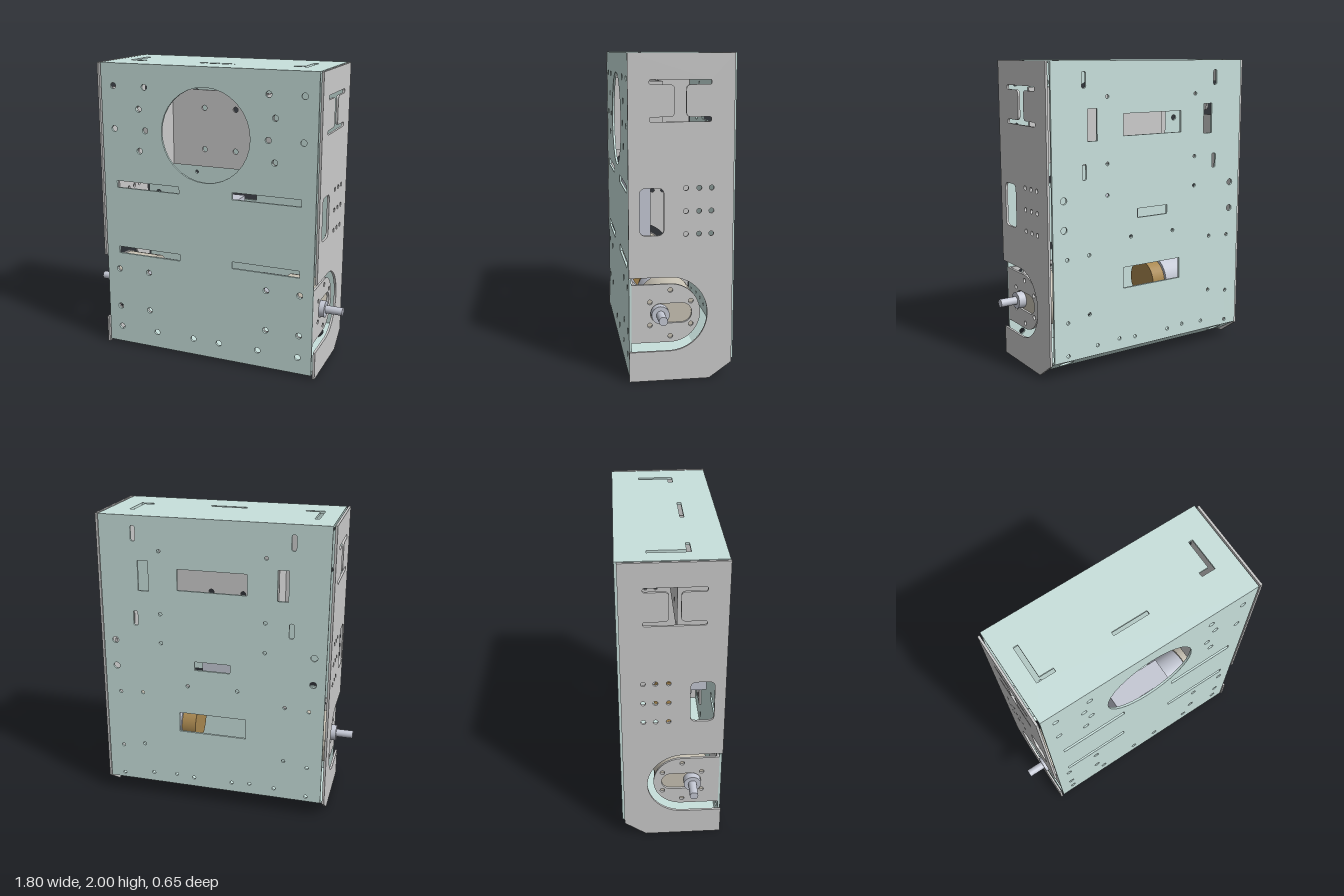
import * as THREE from 'three';

const T = 0.015; // sheet thickness
const paint = (color) => new THREE.MeshStandardMaterial({ color });
const GREY = paint(0xcccccc), GREEN = paint(0xc8e0dc), STEEL = paint(0xc4c8d4);
const TAN = paint(0xc8c2b4), BROWN = paint(0xa8874f);

// Closed outline from [x, y, cornerRadius] points
function outline(pts, Kind = THREE.Path) {
  const path = new Kind();
  pts.forEach(([x, y, r = 0], i) => {
    const toward = ([px, py]) => {
      const d = Math.hypot(px - x, py - y);
      return [x + ((px - x) / d) * r, y + ((py - y) / d) * r];
    };
    const a = toward(pts[(i + pts.length - 1) % pts.length]);
    const b = toward(pts[(i + 1) % pts.length]);
    if (i) path.lineTo(...a); else path.moveTo(...a);
    if (r) path.quadraticCurveTo(x, y, ...b);
  });
  path.closePath();
  return path;
}
const rect = (x0, y0, x1, y1, r = 0, Kind = THREE.Path) =>
  outline([[x0, y0, r], [x1, y0, r], [x1, y1, r], [x0, y1, r]], Kind);
const hole = (x, y, r) => new THREE.Path().absarc(x, y, r, 0, Math.PI * 2, false);
const pair = (x, y, r) => [hole(x, y, r), hole(-x, y, r)];
const pairRect = (x0, y0, x1, y1, r) => [rect(x0, y0, x1, y1, r), rect(-x1, y0, -x0, y1, r)];

function sheet(shape, holes) {
  shape.holes.push(...holes);
  return new THREE.ExtrudeGeometry(shape, { depth: T, bevelEnabled: false, curveSegments: 16 });
}
// Sheet drawn in (z, y), with its faces at x and x + T
const sideways = (geo, x) => geo.rotateY(-Math.PI / 2).translate(x + T, 0, 0);
// Sheet drawn in (x, z), with its upper face at y
const flat = (geo, y) => geo.rotateX(Math.PI / 2).translate(0, y, 0);

export function createModel() {
  const model = new THREE.Group();
  const add = (name, geo, mat, parent = model) => {
    const mesh = new THREE.Mesh(geo, mat);
    mesh.name = name;
    parent.add(mesh);
    return mesh;
  };

  // Front panel: round window, four slots, bolt holes
  const frontHoles = [hole(0, 1.56, 0.31)];
  for (const [x, y] of [[0.66, 1.85], [0.43, 1.85], [0.475, 1.705], [0.66, 1.565], [0.43, 1.565], [0.475, 1.425],
    [0.66, 0.57], [0.43, 0.57], [0.66, 0.29], [0.43, 0.29], [0.655, 0.135], [0.375, 0.135], [0.095, 0.135]])
    frontHoles.push(...pair(x, y, 0.02));
  for (const y of [0.69, 1.16]) frontHoles.push(...pairRect(0.19, y, 0.655, y + 0.047));
  add('frontPanel', sheet(rect(-0.75, 0.02, 0.75, 2, 0, THREE.Shape), frontHoles).translate(0, 0, 0.31), GREEN);

  // Back panel: cable openings, slots and small holes
  const backHoles = [rect(-0.23, 1.53, 0.23, 1.67), rect(-0.12, 0.99, 0.12, 1.05), rect(-0.23, 0.53, 0.23, 0.67),
    ...pairRect(0.425, 1.51, 0.495, 1.71)];
  for (const y of [1.27, 1.835]) backHoles.push(...pairRect(0.505, y, 0.535, y + 0.1, 0.014));
  for (const y of [0.97, 1.155]) backHoles.push(...pair(0.67, y, 0.022));
  for (const [x, y] of [[0.35, 1.78], [0.35, 1.36], [0.35, 1.16], [0.17, 0.87], [0.65, 0.78], [0.49, 0.79],
    [0.65, 0.37], [0.49, 0.4], [0.65, 0.15], [0.43, 0.18], [0.26, 0.19], [0.135, 0.18]])
    backHoles.push(...pair(x, y, 0.012));
  add('backPanel', sheet(rect(-0.75, 0.115, 0.75, 2, 0, THREE.Shape), backHoles).translate(0, 0, -0.325), GREEN);

  // Top panel: two L-shaped slots and one straight slot
  const topHoles = [
    rect(-0.125, 0.09, 0.12, 0.115),
    outline([[-0.64, -0.14], [-0.61, -0.14], [-0.61, 0.09], [-0.515, 0.09], [-0.515, 0.115], [-0.64, 0.115]]),
    outline([[0.605, -0.14], [0.575, -0.14], [0.575, 0.06], [0.51, 0.06], [0.51, 0.09], [0.605, 0.09]]),
  ];
  add('topPanel', flat(sheet(rect(-0.75, -0.325, 0.75, 0.325, 0, THREE.Shape), topHoles), 2), GREEN);

  // Bottom panel and its sloping rear part
  const bottomHoles = [...pair(0.13, 0.1, 0.012), ...pair(0.63, 0.1, 0.012), ...pair(0.63, 0.02, 0.012)];
  add('bottomPanel', flat(sheet(rect(-0.75, -0.165, 0.75, 0.325, 0, THREE.Shape), bottomHoles), 0.035), GREEN);
  const slope = sheet(rect(-0.75, 0, 0.75, 0.185, 0, THREE.Shape), pair(0.62, 0.09, 0.05));
  add('bottomSlope', slope.rotateX(-1.021).translate(0, 0.02, -0.165), GREEN);

  // Side plates: open U notch for the motor, I-shaped slot, window and vent holes
  for (const side of [1, -1]) {
    const plate = new THREE.Shape();
    plate.moveTo(0.327, 0);
    plate.lineTo(0.327, 0.19);
    plate.lineTo(0.08, 0.19);
    plate.absarc(0.08, 0.425, 0.235, -Math.PI / 2, Math.PI / 2, true);
    plate.lineTo(0.327, 0.66);
    plate.lineTo(0.327, 2);
    plate.lineTo(-0.31, 2);
    plate.lineTo(-0.31, 0.1);
    plate.lineTo(-0.17, 0);
    plate.closePath();
    const e = 0.012, f = 0.03;
    const cuts = [
      outline([[0.2, 1.6, e], [-0.17, 1.6, e], [-0.17, 1.628, e], [-0.02, 1.628, f], [-0.02, 1.817, f],
        [-0.17, 1.817, e], [-0.17, 1.845, e], [0.2, 1.845, e], [0.2, 1.817, e], [0.05, 1.817, f],
        [0.05, 1.628, f], [0.2, 1.628, e]]),
      rect(0.113, 0.92, 0.26, 1.208, 0.04),
    ];
    for (const z of [-0.02, -0.1, -0.175]) for (const y of [1.205, 1.065, 0.925]) cuts.push(hole(z, y, 0.015));
    add(side > 0 ? 'leftSidePlate' : 'rightSidePlate',
      sideways(sheet(plate, cuts), side > 0 ? 0.76 : -0.76 - T), GREY);
  }

  // Motor units, one on each side
  for (const side of [1, -1]) {
    const unit = new THREE.Group();
    unit.name = side > 0 ? 'leftMotorUnit' : 'rightMotorUnit';
    model.add(unit);
    const at = (x) => (side > 0 ? x : -x - T);

    // Mounting plate with bolt circle and adjustment slot
    const face = new THREE.Shape();
    face.moveTo(0.31, 0.24);
    face.lineTo(0.31, 0.61);
    face.lineTo(0.07, 0.61);
    face.absarc(0.07, 0.425, 0.185, Math.PI / 2, Math.PI * 1.5, false);
    face.closePath();
    const slot = new THREE.Path();
    slot.absarc(0.13, 0.425, 0.063, -Math.PI / 2, Math.PI / 2, false);
    slot.absarc(0, 0.425, 0.063, Math.PI / 2, Math.PI * 1.5, false);
    slot.closePath();
    const bolts = [0, 1, 2, 3, 4, 5].map((i) => {
      const a = Math.PI / 2 + (i * Math.PI) / 3;
      return hole(0.07 + 0.147 * Math.cos(a), 0.425 + 0.147 * Math.sin(a), 0.015);
    });
    add('motorPlate', sideways(sheet(face, [slot, ...bolts]), at(0.735)), GREY, unit);

    // Tab bolted behind the front panel
    const tab = rect(side * 0.36, 0.24, side * 0.745, 0.61, 0, THREE.Shape);
    const tabHoles = [0.43, 0.66].flatMap((x) => [hole(side * x, 0.57, 0.018), hole(side * x, 0.29, 0.018)]);
    add('motorTab', sheet(tab, tabHoles).translate(0, 0, 0.295), GREY, unit);

    // Cylinders along x: [name, inner x, outer x, radius, z, material]
    for (const [name, x0, x1, r, z, mat] of [
      ['gearbox', 0.5, 0.733, 0.178, 0.07, TAN], ['motorBody', 0.3, 0.5, 0.16, 0.07, STEEL],
      ['motorEndCap', 0.2, 0.3, 0.14, 0.07, BROWN], ['shaftCollar', 0.73, 0.785, 0.055, 0.135, STEEL],
      ['shaft', 0.75, 0.9, 0.027, 0.135, STEEL]]) {
      const geo = new THREE.CylinderGeometry(r, r, x1 - x0, 32).rotateZ(Math.PI / 2);
      add(name, geo.translate((side * (x0 + x1)) / 2, 0.425, z), mat, unit);
    }
  }

  // Recessed bracket behind the round window
  const bracket = new THREE.Group();
  bracket.name = 'windowBracket';
  model.add(bracket);
  const webHoles = [1.42, 1.7].flatMap((y) => pair(0.112, y, 0.018));
  add('bracketWeb', sheet(rect(-0.36, 1.3, 0.36, 1.82, 0, THREE.Shape), webHoles).translate(0, 0, 0.06), GREY, bracket);
  for (const side of [1, -1]) {
    add('bracketFlange', new THREE.BoxGeometry(T, 0.52, 0.235).translate(side * 0.3525, 1.56, 0.1925), GREY, bracket);
    const ear = rect(side * 0.36, 1.3, side * 0.57, 1.82, 0, THREE.Shape);
    const earHoles = [1.425, 1.705].map((y) => hole(side * 0.475, y, 0.018));
    add('bracketEar', sheet(ear, earHoles).translate(0, 0, 0.295), GREY, bracket);
  }

  // Power pack between the front slots
  add('powerPack', new THREE.BoxGeometry(0.4, 0.38, 0.16).translate(0, 0.95, 0.2), STEEL);
  return model;
}
